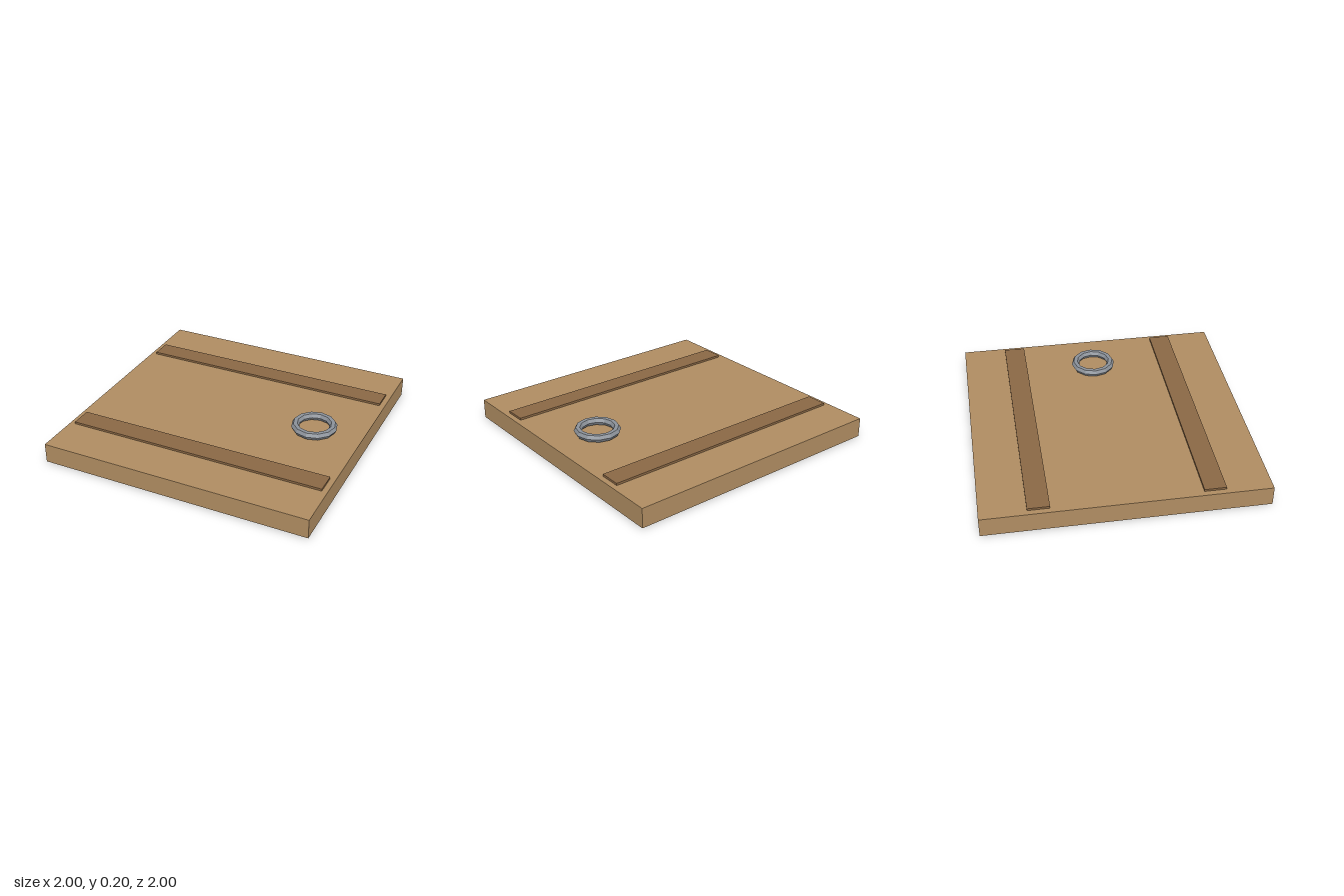
import * as THREE from 'three';

const material = (name, color) => {
  const m = new THREE.MeshStandardMaterial({ color });
  m.name = name;
  return m;
};

export function createModel() {
  const wood = material('wood', 0xb08d62);
  const darkWood = material('dark wood', 0x8a6845);
  const iron = material('iron', 0x8c929a);
  const model = new THREE.Group();
  model.name = 'hatch';

  const add = (name, geometry, mat, x, y, z) => {
    const mesh = new THREE.Mesh(geometry, mat);
    mesh.name = name;
    mesh.position.set(x, y, z);
    model.add(mesh);
  };

  // Square slab
  add('panel', new THREE.BoxGeometry(2, 0.144, 2), wood, 0, 0.072, 0);

  // Two cross battens, sunk slightly into the slab
  for (const [name, z] of [['frontBatten', 0.6], ['backBatten', -0.6]]) {
    add(name, new THREE.BoxGeometry(1.92, 0.03, 0.155), darkWood, 0, 0.145, z);
  }

  // Faceted pull ring lying flat
  const ring = new THREE.TorusGeometry(0.139, 0.029, 6, 12).rotateX(-Math.PI / 2).toNonIndexed();
  ring.computeVertexNormals();
  add('pullRing', ring, iron, 0.64, 0.177, 0);

  return model;
}
